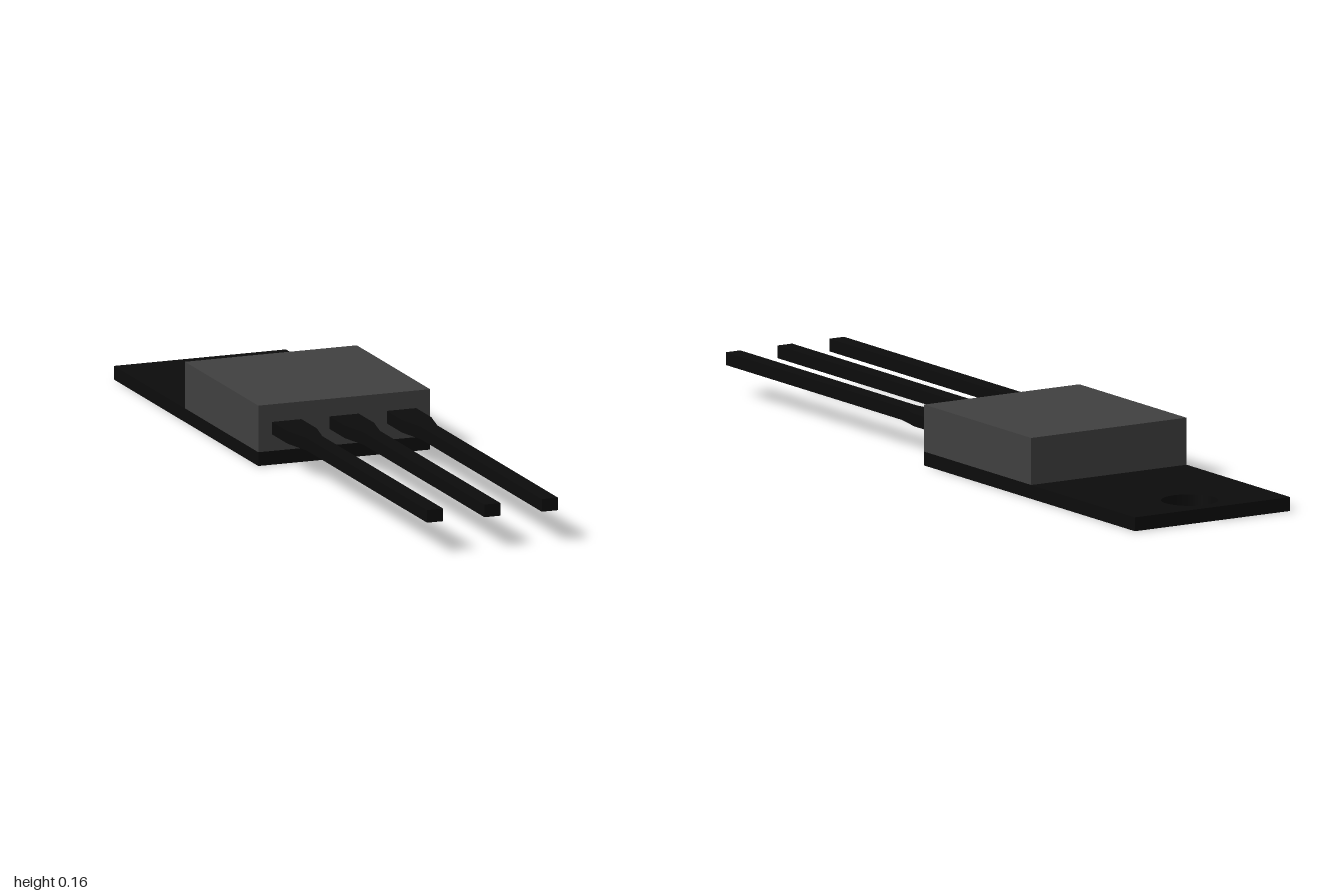
import * as THREE from 'three';

const HALF_WIDTH = 0.235;
const BODY_FRONT = -0.014;
const BODY_BACK = -0.515;
const PLATE_TOP = 0.036;
const BODY_TOP = 0.158;

// Extrudes an outline of [x, z] points upward from y = bottom to y = top.
function slab(name, outline, bottom, top, material, holes = []) {
  const shape = new THREE.Shape(outline.map(([x, z]) => new THREE.Vector2(x, -z)));
  shape.holes.push(...holes);
  const geometry = new THREE.ExtrudeGeometry(shape, {
    depth: top - bottom, bevelEnabled: false, curveSegments: 32,
  });
  geometry.rotateX(-Math.PI / 2);
  geometry.translate(0, bottom, 0);
  const mesh = new THREE.Mesh(geometry, material);
  mesh.name = name;
  return mesh;
}

export function createModel() {
  const model = new THREE.Group();
  model.name = 'transistor';
  const metal = new THREE.MeshStandardMaterial({ color: 0x0c0c0c });
  const plastic = new THREE.MeshStandardMaterial({ color: 0x404040 });

  // Mounting plate with a round screw hole near its back end
  const w = HALF_WIDTH;
  const hole = new THREE.Path().absarc(0, 0.893, 0.073, 0, Math.PI * 2, true);
  model.add(slab('mountingPlate',
    [[-w, BODY_FRONT], [w, BODY_FRONT], [w, -1], [-w, -1]],
    0, PLATE_TOP, metal, [hole]));

  // Moulded body on the front half of the plate
  const body = new THREE.Mesh(
    new THREE.BoxGeometry(w * 2, BODY_TOP - PLATE_TOP, BODY_FRONT - BODY_BACK), plastic);
  body.name = 'body';
  body.position.set(0, (PLATE_TOP + BODY_TOP) / 2, (BODY_FRONT + BODY_BACK) / 2);
  model.add(body);

  // Three leads: wide at the body, tapering to a slim leg
  const halfLead = [[0.04, BODY_FRONT - 0.01], [0.04, 0.09], [0.022, 0.175], [0.022, 1]];
  const outline = [
    ...halfLead.map(([x, z]) => [-x, z]),
    ...[...halfLead].reverse(),
  ];
  [['rightLead', -0.157], ['middleLead', 0], ['leftLead', 0.157]].forEach(([name, x]) => {
    const lead = slab(name, outline, 0.079, 0.112, metal);
    lead.position.x = x;
    model.add(lead);
  });

  return model;
}
